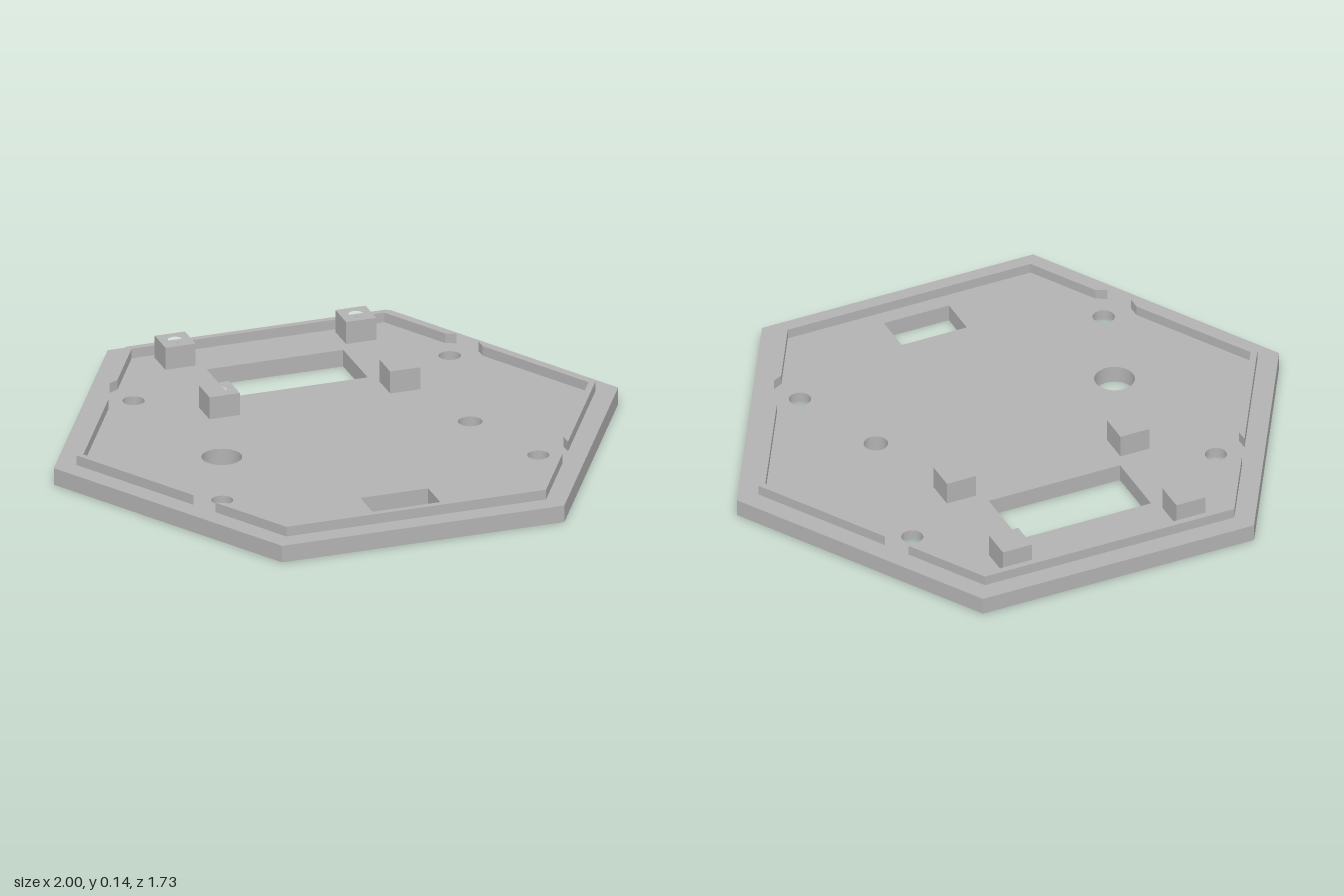
import * as THREE from 'three';
import { mergeGeometries, toCreasedNormals } from 'three/addons/utils/BufferGeometryUtils.js';

const PLATE = 0.06, BORE = 0.03, RIM = 0.095, POST = 0.14;

// Closed loops of [x, z] points
const ring = (cx, cz, r, n = 32) => Array.from({ length: n }, (_, i) => {
  const a = (i / n) * Math.PI * 2;
  return [cx + r * Math.cos(a), cz + r * Math.sin(a)];
});
const rect = (x0, x1, z0, z1) => [[x0, z0], [x1, z0], [x1, z1], [x0, z1]];

function makeShape(outer, holes = [], sign = -1) {
  const toV = (loop) => loop.map(([x, z]) => new THREE.Vector2(x, sign * z));
  const shape = new THREE.Shape(toV(outer));
  holes.forEach((h) => shape.holes.push(new THREE.Path(toV(h))));
  return shape;
}

// Flat face at height y, looking up or down
function face(outer, holes, y, up) {
  const g = new THREE.ShapeGeometry(makeShape(outer, holes, up ? -1 : 1));
  g.rotateX(up ? -Math.PI / 2 : Math.PI / 2).translate(0, y, 0);
  g.deleteAttribute('uv');
  g.deleteAttribute('normal');
  return g.toNonIndexed();
}

// Vertical wall facing into the loop
function wall(loop, y0, y1) {
  const p = [];
  loop.forEach(([ax, az], i) => {
    const [bx, bz] = loop[(i + 1) % loop.length];
    p.push(ax, y0, az, bx, y0, bz, bx, y1, bz, ax, y0, az, bx, y1, bz, ax, y1, az);
  });
  const g = new THREE.BufferGeometry();
  g.setAttribute('position', new THREE.Float32BufferAttribute(p, 3));
  return g;
}

// Upright prism between two heights
function prism(outer, holes, y0, y1) {
  const g = new THREE.ExtrudeGeometry(makeShape(outer, holes), { depth: y1 - y0, bevelEnabled: false });
  return toCreasedNormals(g.rotateX(-Math.PI / 2).translate(0, y0, 0), 0.5);
}

export function createModel() {
  const group = new THREE.Group();
  const grey = new THREE.MeshStandardMaterial({ color: 0xb2b2b2 });
  grey.name = 'grey';
  const add = (name, geometry) => {
    const mesh = new THREE.Mesh(geometry, grey);
    mesh.name = name;
    group.add(mesh);
    return mesh;
  };

  // Hexagonal plate with windows, round holes and counterbored screw holes
  const hex = ring(0, 0, 1, 6);
  const through = [
    rect(-0.243, 0.241, -0.604, -0.361),
    rect(-0.12, 0.12, 0.578, 0.718),
    ring(-0.44, 0.1, 0.068),
    ring(0.44, 0.1, 0.041),
  ];
  const screws = [[-0.56, -0.44], [0.56, -0.44], [-0.56, 0.44], [0.56, 0.44]];
  const narrow = screws.map(([x, z]) => ring(x, z, 0.037));
  const wide = screws.map(([x, z]) => ring(x, z, 0.068));
  const plate = mergeGeometries([
    face(hex, [...through, ...narrow], PLATE, true),
    face(hex, [...through, ...wide], 0, false),
    wall([...hex].reverse(), 0, PLATE),
    ...through.map((h) => wall(h, 0, PLATE)),
    ...wide.map((h) => wall(h, 0, BORE)),
    ...narrow.map((h) => wall(h, BORE, PLATE)),
    ...wide.map((h, i) => face(h, [narrow[i]], BORE, false)),
  ]);
  add('plate', toCreasedNormals(plate, 0.5));

  // Raised rim, broken beside each screw hole
  const sideRim = [[0.663, -0.445], [0.92, 0], [0.663, 0.445], [0.663, 0.402], [0.895, 0], [0.663, -0.402]];
  const endRim = [[-0.615, 0.528], [-0.46, 0.797], [0.46, 0.797], [0.615, 0.528],
    [0.58, 0.545], [0.4475, 0.775], [-0.4475, 0.775], [-0.58, 0.545]];
  for (const s of [1, -1]) {
    add(s > 0 ? 'leftRim' : 'rightRim', prism(sideRim.map(([x, z]) => [s * x, z]), [], PLATE, RIM));
    add(s > 0 ? 'frontRim' : 'backRim', prism(endRim.map(([x, z]) => [x, s * z]), [], PLATE, RIM));
  }

  // Four square mounting posts with screw holes
  const h = 0.0535;
  for (const x of [-0.32, 0.32]) {
    for (const z of [-0.7, -0.262]) {
      add('mountingPost', prism(rect(x - h, x + h, z - h, z + h), [ring(x, z, 0.025, 24)], PLATE, POST));
    }
  }
  return group;
}
